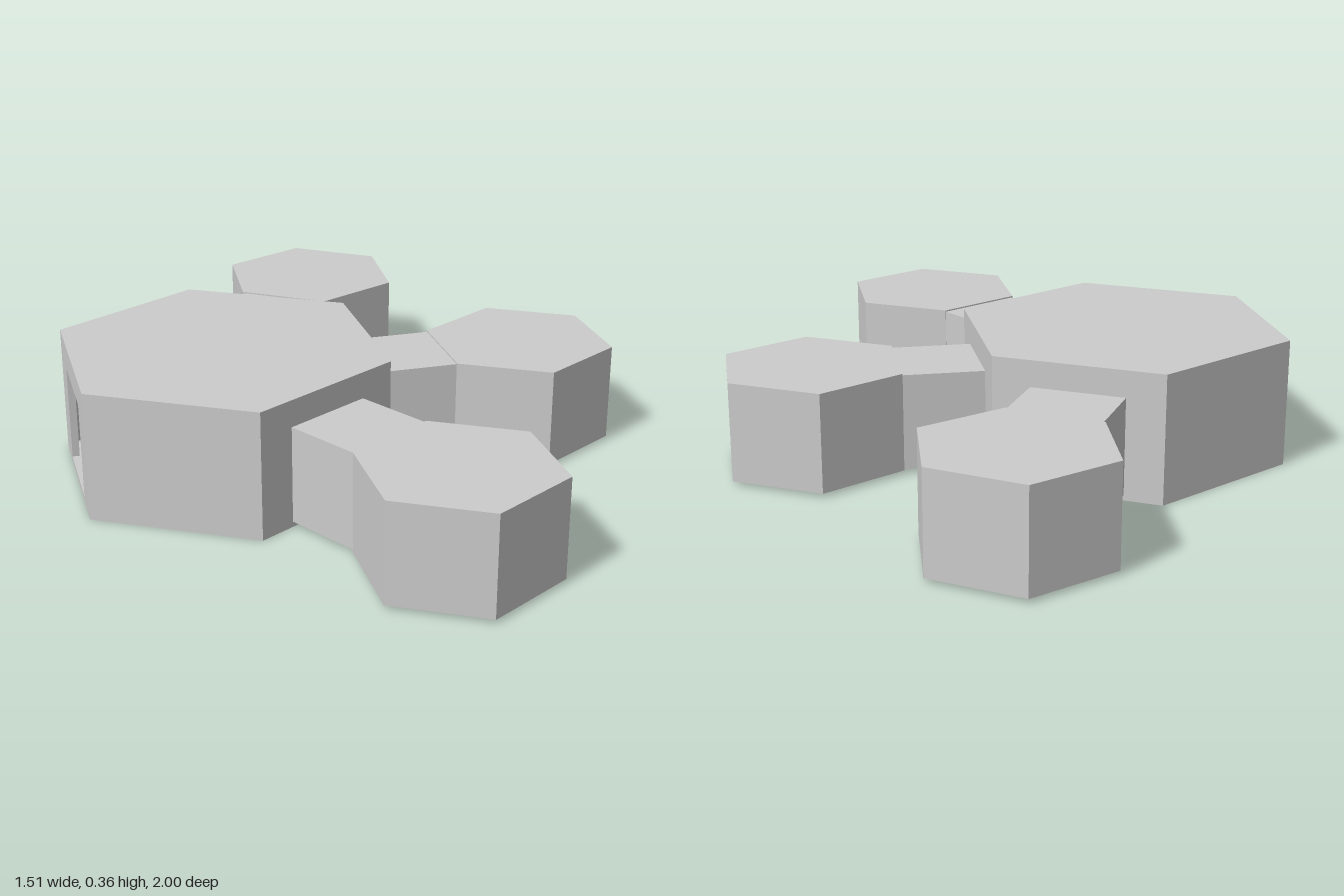
import * as THREE from 'three';

const material = new THREE.MeshStandardMaterial({ color: 0xcccccc, flatShading: true });
const HUB = { x: -0.345, z: -0.018, radius: 0.473, height: 0.357 };
const APOTHEM = HUB.radius * Math.cos(Math.PI / 6);
const PLATE = 0.015, WALL = 0.02;
const DOOR = { half: 0.13, bottom: 0.015, top: 0.283 };

function add(parent, name, geometry, x = 0, y = 0, z = 0) {
  const mesh = new THREE.Mesh(geometry, material);
  mesh.name = name;
  mesh.position.set(x, y, z);
  parent.add(mesh);
  return mesh;
}

function rectangle(Type, half, bottom, top) {
  return new Type([[-half, bottom], [half, bottom], [half, top], [-half, top]]
    .map(([x, y]) => new THREE.Vector2(x, y)));
}

const hexPrism = (radius, height) => new THREE.CylinderGeometry(radius, radius, height, 6);
const extrude = (shape, depth) => new THREE.ExtrudeGeometry(shape, { depth, bevelEnabled: false });

// One side of the hub, optionally with a doorway
function wallGeometry(hasDoor) {
  const h = HUB.radius / 2, top = HUB.height - PLATE;
  if (!hasDoor) return extrude(rectangle(THREE.Shape, h, PLATE, top), WALL);
  const d = DOOR.half;
  const points = [[-h, PLATE], [-d, PLATE], [-d, DOOR.top], [d, DOOR.top],
    [d, PLATE], [h, PLATE], [h, top], [-h, top]];
  return extrude(new THREE.Shape(points.map(([x, y]) => new THREE.Vector2(x, y))), WALL);
}

// Square tunnel running out from a hub doorway
function passageGeometry() {
  const t = 0.008;
  const shape = rectangle(THREE.Shape, DOOR.half, DOOR.bottom, DOOR.top);
  shape.holes.push(rectangle(THREE.Path, DOOR.half - t, DOOR.bottom + t, DOOR.top - t));
  return extrude(shape, 0.255);
}

export function createModel() {
  const model = new THREE.Group();
  model.name = 'hexagonalBase';

  // Hollow central hub
  const hub = new THREE.Group();
  hub.name = 'hub';
  hub.position.set(HUB.x, 0, HUB.z);
  model.add(hub);
  add(hub, 'hubFloor', hexPrism(HUB.radius, PLATE), 0, PLATE / 2, 0);
  add(hub, 'hubRoof', hexPrism(HUB.radius, PLATE), 0, HUB.height - PLATE / 2, 0);

  // Walls at 60 degree steps from +x: three lead to passages, the opposite one is the entrance
  const doors = [0, 1, 3, 5], passages = [0, 1, 5];
  for (let i = 0; i < 6; i++) {
    const side = new THREE.Group();
    side.name = 'hubSide';
    side.rotation.y = Math.PI / 2 - i * Math.PI / 3;
    hub.add(side);
    add(side, doors.includes(i) ? 'doorWall' : 'wall', wallGeometry(doors.includes(i)), 0, 0, APOTHEM - WALL);
    if (passages.includes(i)) add(side, 'passage', passageGeometry(), 0, 0, APOTHEM - 0.015);
  }

  // Outer pods, the rear one turned slightly
  const pods = [
    ['sidePod', 0.52, -0.015, 0],
    ['frontPod', 0.084, 0.73, 0],
    ['rearPod', 0.087, -0.735, -0.085],
  ];
  for (const [name, x, z, turn] of pods) {
    add(model, name, hexPrism(0.267, 0.276), x, 0.149, z).rotation.y = turn;
  }
  return model;
}
